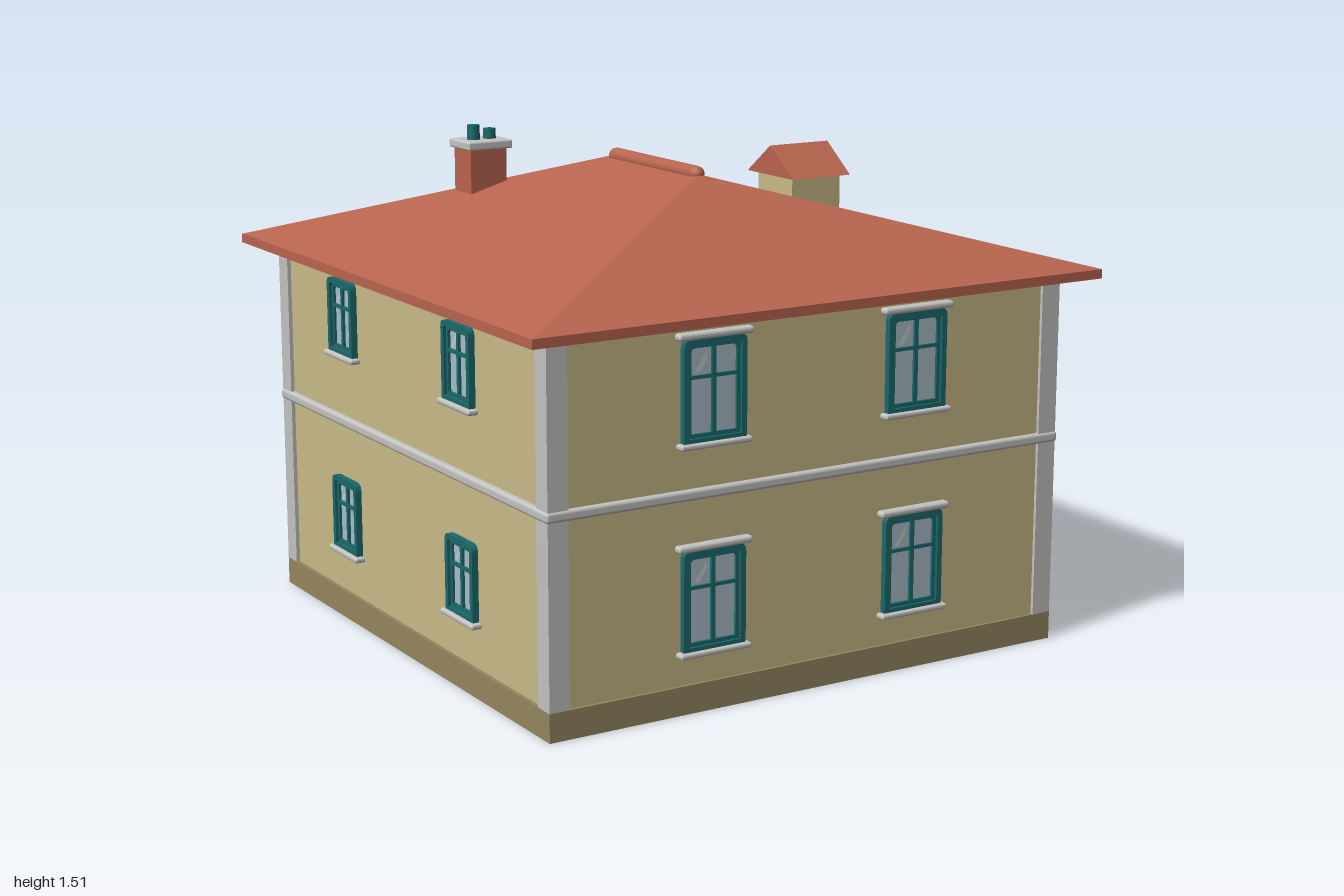
import * as THREE from 'three';
import { RoundedBoxGeometry } from 'three/addons/geometries/RoundedBoxGeometry.js';

const mat = (name, color, side = THREE.FrontSide) => {
  const m = new THREE.MeshStandardMaterial({ color, side });
  m.name = name;
  return m;
};

export function createModel() {
  const wallM = mat('sand plaster', 0xc9ba88);
  const plinthM = mat('olive stone', 0x94865f);
  const trimM = mat('light grey trim', 0xc3c3c1);
  const roofM = mat('terracotta', 0xb9654f);
  const tealM = mat('teal paint', 0x259797);
  const darkM = mat('dark teal paint', 0x1a696b);
  const glassM = mat('window glass', 0xa9bdc5);
  const glintM = mat('glass glint', 0xc3ced0);
  const brassM = mat('bronze', 0x8a6a45);

  const house = new THREE.Group();
  house.name = 'house';
  const CX = -0.04;

  const add = (parent, name, geo, material, x = 0, y = 0, z = 0) => {
    const m = new THREE.Mesh(geo, material);
    m.name = name;
    m.position.set(x, y, z);
    parent.add(m);
    return m;
  };
  const box = (p, name, m, w, h, d, x, y, z) => add(p, name, new THREE.BoxGeometry(w, h, d), m, x, y, z);
  const rbox = (p, name, m, w, h, d, x, y, z, r) => add(p, name, new RoundedBoxGeometry(w, h, d, 3, r), m, x, y, z);

  // Groups whose local +z points out of a wall
  const wallGroup = (name, x, z, turn) => {
    const g = new THREE.Group();
    g.name = name;
    g.position.set(x, 0, z);
    g.rotation.y = turn;
    house.add(g);
    return g;
  };
  const front = wallGroup('frontWall', CX, 0.865, 0);
  const back = wallGroup('backWall', CX, -0.865, Math.PI);
  const entry = wallGroup('entranceWall', 0.82, 0, Math.PI / 2);
  const plain = wallGroup('plainWall', -0.9, 0, -Math.PI / 2);

  // Body, plinth, corner strips and belt course
  box(house, 'walls', wallM, 1.72, 1.06, 1.73, CX, 0.61, 0);
  box(house, 'plinth', plinthM, 1.744, 0.085, 1.75, CX, 0.0425, 0);
  for (const sx of [-1, 1]) for (const sz of [-1, 1])
    box(house, 'cornerStrip', trimM, 0.064, 1.045, 0.064, CX + sx * 0.84, 0.6075, sz * 0.843);
  rbox(house, 'beltCourse', trimM, 1.756, 0.032, 1.76, CX, 0.636, 0, 0.01);

  // Hipped roof on a thin eaves slab
  box(house, 'eaves', roofM, 1.92, 0.028, 1.92, CX, 1.137, 0);
  const [a, b, c, d] = [[-1, 1.15, 0.96], [0.92, 1.15, 0.96], [0.92, 1.15, -0.96], [-1, 1.15, -0.96]];
  const [r1, r2] = [[CX, 1.418, 0.25], [CX, 1.418, -0.25]];
  const hip = new THREE.BufferGeometry();
  const tris = [a, b, r1, c, d, r2, b, c, r2, b, r2, r1, d, a, r1, d, r1, r2];
  hip.setAttribute('position', new THREE.Float32BufferAttribute(tris.flat(), 3));
  hip.computeVertexNormals();
  add(house, 'roof', hip, roofM);
  add(house, 'ridgeCap', new THREE.CapsuleGeometry(0.024, 0.47, 4, 14), roofM, CX, 1.418, 0).rotation.x = Math.PI / 2;

  // Chimney with two pots
  box(house, 'chimney', roofM, 0.125, 0.3, 0.11, -0.39, 1.29, -0.48);
  rbox(house, 'chimneyCap', trimM, 0.154, 0.027, 0.136, -0.388, 1.453, -0.48, 0.006);
  [[-0.414, 1.512], [-0.358, 1.498]].forEach(([x, top]) => {
    add(house, 'chimneyPot', new THREE.CylinderGeometry(0.019, 0.021, top - 1.46, 16), darkM, x, (top + 1.46) / 2, -0.48);
  });

  // Dormer with a round window
  box(house, 'dormerWalls', wallM, 0.18, 0.2, 0.19, 0.49, 1.265, 0);
  const gable = new THREE.Shape([[-0.127, 1.353], [0.127, 1.353], [0, 1.446]].map(p => new THREE.Vector2(...p)));
  const dormerRoof = add(house, 'dormerRoof', new THREE.ExtrudeGeometry(gable, { depth: 0.217, bevelEnabled: false }), roofM, 0.38, 0, 0);
  dormerRoof.rotation.y = Math.PI / 2;
  const oculus = new THREE.Group();
  oculus.name = 'roundWindow';
  oculus.position.set(0.581, 1.3, 0);
  oculus.rotation.y = Math.PI / 2;
  house.add(oculus);
  add(oculus, 'roundGlass', new THREE.CircleGeometry(0.055, 32), glassM, 0, 0, 0.002);
  add(oculus, 'roundFrame', new THREE.TorusGeometry(0.055, 0.012, 8, 32), darkM);
  box(oculus, 'roundBar', darkM, 0.1, 0.01, 0.008, 0, 0, 0.004);
  box(oculus, 'roundBar', darkM, 0.01, 0.1, 0.008, 0, 0, 0.004);

  // Rectangle outline with rounded upper corners, origin at bottom centre
  const arched = (Type, w, h, r, y0 = 0) => {
    const s = new Type(), x = w / 2;
    s.moveTo(-x, y0);
    s.lineTo(x, y0);
    s.lineTo(x, y0 + h - r);
    s.quadraticCurveTo(x, y0 + h, x - r, y0 + h);
    s.lineTo(-x + r, y0 + h);
    s.quadraticCurveTo(-x, y0 + h, -x, y0 + h - r);
    s.closePath();
    return s;
  };
  const glint = (p, w, h, x, y, z) => {
    const s = new THREE.Shape([[0, 0], [w, h], [w, h * 0.6], [w * 0.4, 0]].map(q => new THREE.Vector2(...q)));
    add(p, 'glint', new THREE.ShapeGeometry(s), glintM, x, y, z);
  };

  const addWindow = (wall, x, y, w, h, lintel = true) => {
    const g = new THREE.Group();
    g.name = 'window';
    g.position.set(x, y, 0);
    wall.add(g);
    const ring = (name, rw, rh, t, y0, depth) => {
      const s = arched(THREE.Shape, rw, rh, 0.025, y0);
      s.holes.push(arched(THREE.Path, rw - 2 * t, rh - 2 * t, 0.012, y0 + t));
      add(g, name, new THREE.ExtrudeGeometry(s, { depth, bevelEnabled: false, curveSegments: 5 }), darkM);
    };
    ring('windowFrame', w, h, 0.017, 0, 0.02);
    ring('windowSash', w - 0.03, h - 0.03, 0.013, 0.015, 0.011);
    add(g, 'pane', new THREE.PlaneGeometry(w - 0.03, h - 0.03), glassM, 0, h / 2, 0.003);
    box(g, 'mullion', darkM, 0.013, h - 0.04, 0.01, 0, h / 2, 0.006);
    box(g, 'transom', darkM, w - 0.04, 0.01, 0.01, 0, h * 0.63, 0.006);
    glint(g, w * 0.2, h * 0.2, -w * 0.3, h * 0.67, 0.0045);
    rbox(g, 'sill', trimM, w + 0.03, 0.017, 0.036, 0, -0.003, 0.014, 0.007);
    if (lintel) rbox(g, 'lintel', trimM, w + 0.04, 0.021, 0.032, 0, h + 0.008, 0.012, 0.009);
  };

  const W = 0.205, H = 0.298;
  for (const wall of [front, back]) for (const x of [-0.345, 0.345]) for (const y of [0.18, 0.78])
    addWindow(wall, x, y, W, H);
  for (const x of [-0.41, 0.36]) for (const y of [0.22, 0.845])
    addWindow(plain, x, y, 0.17, 0.235, false);

  // Upper windows with shutters above the entrance
  for (const x of [-0.54, 0, 0.54]) {
    addWindow(entry, x, 0.78, W, H);
    for (const s of [-1, 1]) {
      rbox(entry, 'shutter', tealM, 0.1, 0.296, 0.022, x + s * 0.159, 0.935, 0.014, 0.004);
    }
  }

  // Lower windows with flower boxes
  for (const x of [-0.54, 0.54]) {
    addWindow(entry, x, 0.18, W, H);
    rbox(entry, 'flowerBox', tealM, 0.22, 0.05, 0.06, x, 0.192, 0.045, 0.006);
    rbox(entry, 'flowerBoxRim', tealM, 0.235, 0.014, 0.07, x, 0.213, 0.045, 0.006);
    add(entry, 'foliage', new THREE.SphereGeometry(1, 20, 10), tealM, x, 0.217, 0.045).scale.set(0.105, 0.033, 0.028);
    [-0.083, 0, 0.083].forEach((dx, i) => {
      add(entry, 'flower', new THREE.SphereGeometry(0.016, 12, 8), i < 2 ? roofM : trimM, x + dx, i === 1 ? 0.258 : 0.25, 0.055);
    });
  }

  // Door, its surround and the step
  box(entry, 'door', tealM, 0.24, 0.47, 0.024, 0, 0.255, 0.012);
  for (const s of [-1, 1]) {
    box(entry, 'doorJamb', darkM, 0.03, 0.47, 0.045, s * 0.13, 0.255, 0.0225);
  }
  box(entry, 'doorHead', darkM, 0.29, 0.02, 0.045, 0, 0.485, 0.0225);
  rbox(entry, 'doorCornice', darkM, 0.315, 0.026, 0.06, 0, 0.507, 0.03, 0.006);
  rbox(entry, 'doorGlass', glassM, 0.148, 0.2, 0.008, 0, 0.325, 0.023, 0.0039);
  glint(entry, 0.06, 0.08, -0.05, 0.33, 0.0275);
  const grip = new THREE.CatmullRomCurve3([[0.21, 0.024], [0.225, 0.04], [0.28, 0.04], [0.295, 0.024]]
    .map(([y, z]) => new THREE.Vector3(-0.088, y, z)));
  add(entry, 'doorHandle', new THREE.TubeGeometry(grip, 12, 0.005, 8), brassM);
  box(entry, 'doorStep', trimM, 0.33, 0.026, 0.11, 0, 0.013, 0.057);

  // Awning with a raised rim, hung from two rods
  const awning = new THREE.Group();
  awning.name = 'awning';
  awning.position.set(0, 0.555, 0.095);
  awning.rotation.x = -0.09;
  entry.add(awning);
  rbox(awning, 'awningSlab', tealM, 0.4, 0.02, 0.165, 0, 0.003, 0, 0.008);
  box(awning, 'awningUnderside', trimM, 0.37, 0.006, 0.145, 0, -0.009, 0);
  rbox(awning, 'awningFrontRim', tealM, 0.41, 0.028, 0.022, 0, 0.008, 0.074, 0.01);
  for (const s of [-1, 1]) {
    rbox(awning, 'awningSideRim', tealM, 0.022, 0.028, 0.165, s * 0.194, 0.006, 0, 0.01);
    const rod = new THREE.LineCurve3(new THREE.Vector3(s * 0.163, 0.68, 0), new THREE.Vector3(s * 0.163, 0.575, 0.165));
    add(entry, 'awningRod', new THREE.TubeGeometry(rod, 1, 0.005, 8), darkM);
    box(entry, 'rodPlate', darkM, 0.016, 0.03, 0.012, s * 0.163, 0.675, 0.004);
  }
  return house;
}
